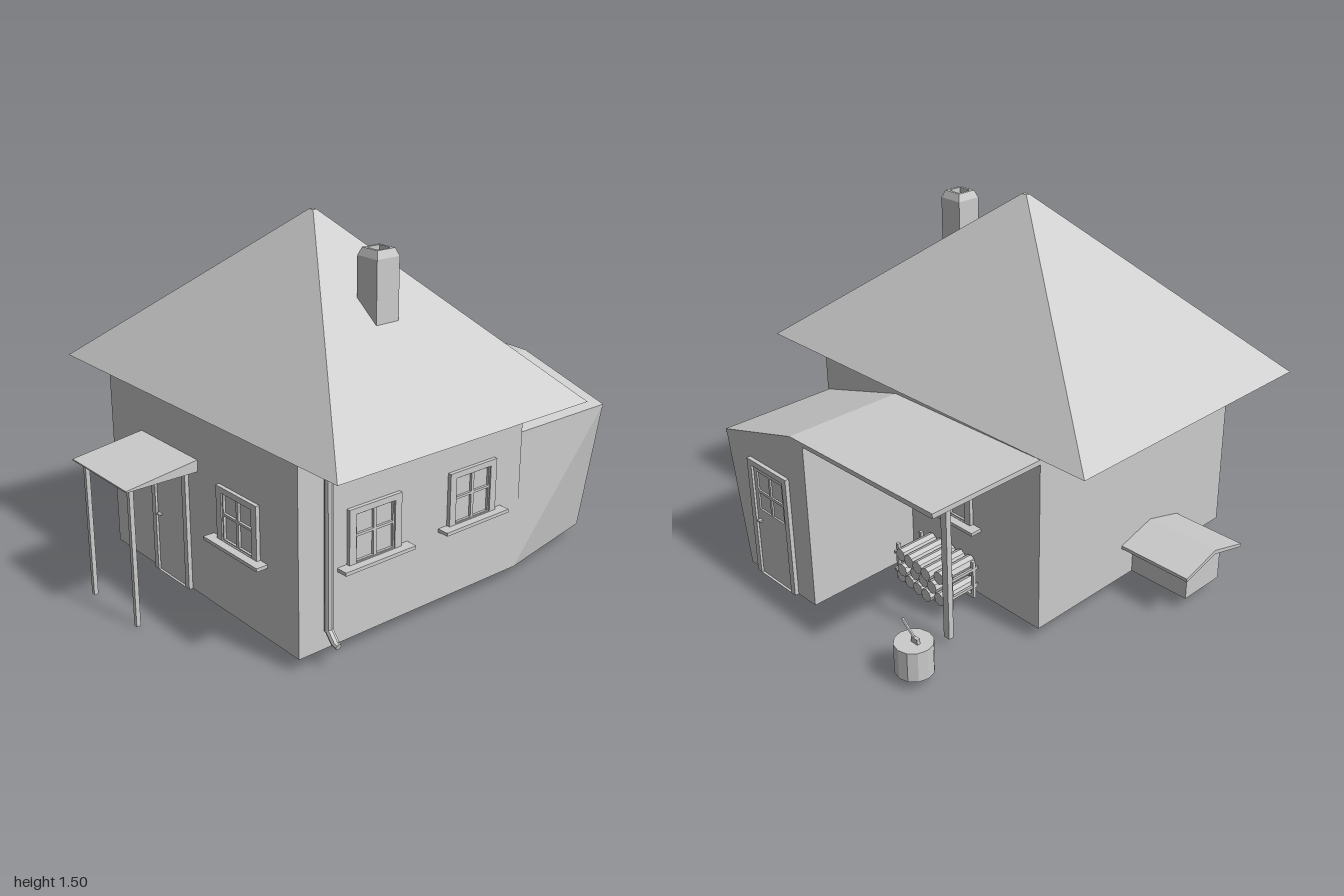
import * as THREE from 'three';

const grey = new THREE.MeshStandardMaterial({ color: 0xcccccc, flatShading: true, side: THREE.DoubleSide });

function add(parent, name, geometry, x = 0, y = 0, z = 0) {
  const mesh = new THREE.Mesh(geometry, grey);
  mesh.name = name;
  mesh.position.set(x, y, z);
  parent.add(mesh);
  return mesh;
}

// Box given by its minimum and maximum on each axis
function block(parent, name, [x0, x1], [y0, y1], [z0, z1]) {
  return add(parent, name, new THREE.BoxGeometry(x1 - x0, y1 - y0, z1 - z0),
    (x0 + x1) / 2, (y0 + y1) / 2, (z0 + z1) / 2);
}

// Round bar between two points
function rod(parent, name, a, b, r, sides = 8) {
  const from = new THREE.Vector3(...a), to = new THREE.Vector3(...b);
  const dir = to.clone().sub(from);
  const mesh = add(parent, name, new THREE.CylinderGeometry(r, r, dir.length(), sides));
  mesh.position.copy(from).add(to).multiplyScalar(0.5);
  mesh.quaternion.setFromUnitVectors(new THREE.Vector3(0, 1, 0), dir.normalize());
  return mesh;
}

const shapeOf = (pts) => new THREE.Shape(pts.map(([x, y]) => new THREE.Vector2(x, y)));

// (x, y) outline swept from z0 to z1
function sweepZ(pts, z0, z1) {
  return new THREE.ExtrudeGeometry(shapeOf(pts), { depth: z1 - z0, bevelEnabled: false }).translate(0, 0, z0);
}

// (z, y) outline swept from x0 to x1
function sweepX(pts, x0, x1) {
  return sweepZ(pts.map(([z, y]) => [-z, y]), x0, x1).rotateY(Math.PI / 2);
}

const rectangle = (x0, x1, y0, y1) => [[x0, y0], [x1, y0], [x1, y1], [x0, y1]];

// Flat panel with rectangular openings, its back at z = 0
function pierced(outer, holes, depth) {
  const shape = shapeOf(rectangle(...outer));
  for (const h of holes) shape.holes.push(shapeOf(rectangle(...h)));
  return new THREE.ExtrudeGeometry(shape, { depth, bevelEnabled: false });
}

// Window with casing, four panes and a sill; faces +z, wall plane at z = 0
function makeWindow(parent, name, x, z, turn) {
  const g = new THREE.Group();
  g.name = name;
  add(g, 'windowCasing', pierced([-0.125, 0.125, 0.36, 0.577], [[-0.093, 0.093, 0.362, 0.553]], 0.016));
  const panes = [];
  for (const [l, r] of [[-0.087, -0.007], [0.007, 0.087]])
    panes.push([l, r, 0.366, 0.462], [l, r, 0.472, 0.549]);
  add(g, 'windowSash', pierced([-0.093, 0.093, 0.362, 0.553], panes, 0.01));
  block(g, 'windowSill', [-0.169, 0.169], [0.346, 0.36], [0, 0.049]);
  g.position.set(x, 0, z);
  g.rotation.y = turn;
  parent.add(g);
}

// Door with casing, leaf and knob; faces +z, wall plane at z = 0
function makeDoor(parent, name, x, z, turn, width, glazed) {
  const g = new THREE.Group(), w = width / 2, leaf = w - 0.026;
  g.name = name;
  add(g, 'doorCasing', pierced([-w, w, 0.055, 0.577], [[-leaf, leaf, 0.056, 0.553]], 0.017));
  const openings = [];
  if (glazed) {
    for (const [l, r] of [[-leaf + 0.02, -0.006], [0.006, leaf - 0.02]])
      openings.push([l, r, 0.36, 0.435], [l, r, 0.447, 0.53]);
  }
  add(g, 'doorLeaf', pierced([-leaf, leaf, 0.056, 0.553], openings, 0.007));
  block(g, 'doorHandle', [-leaf + 0.012, -leaf + 0.03], [0.305, 0.312], [0.007, 0.022]);
  g.position.set(x, 0, z);
  g.rotation.y = turn;
  parent.add(g);
}

export function createModel() {
  const house = new THREE.Group();
  house.name = 'house';

  // Main walls
  block(house, 'mainWalls', [-0.595, 0.647], [0.055, 0.832], [-0.447, 0.675]);

  // Pyramid roof
  const roof = new THREE.CylinderGeometry(Math.SQRT1_2 * 0.014, Math.SQRT1_2, 0.675, 4).rotateY(Math.PI / 4);
  roof.scale(1.765, 1, 1.225);
  add(house, 'mainRoof', roof, 0.0275, 0.83 + 0.3375, 0.1075);

  // Hollow chimney with a chamfered top
  const flue = [[0.054, 1.0], [0.054, 1.4], [0.042, 1.43], [0.03, 1.43], [0.03, 1.33], [0, 1.33]];
  add(house, 'chimney', new THREE.LatheGeometry(
    flue.map(([r, y]) => new THREE.Vector2(r * Math.SQRT2, y)), 4).rotateY(Math.PI / 4), 0.431, 0, 0.13);

  // Front porch
  add(house, 'porchCanopy', sweepX([[0.675, 0.577], [0.985, 0.577], [0.985, 0.583], [0.675, 0.625]], -0.365, 0.035));
  for (const x of [-0.331, -0.006])
    block(house, 'porchPost', [x - 0.009, x + 0.009], [0, 0.58], [0.937, 0.955]);
  makeDoor(house, 'frontDoor', -0.157, 0.675, 0, 0.25, false);

  // Windows
  makeWindow(house, 'frontWindow', 0.3, 0.675, 0);
  makeWindow(house, 'sideWindowFront', 0.647, 0.331, Math.PI / 2);
  makeWindow(house, 'sideWindowBack', 0.647, -0.168, Math.PI / 2);
  makeWindow(house, 'backWindow', -0.115, -0.447, Math.PI);

  // Downpipe with kicked-out spout
  rod(house, 'downpipe', [0.665, 0.832, 0.554], [0.665, 0.135, 0.554], 0.017);
  rod(house, 'downpipeElbow', [0.665, 0.142, 0.554], [0.702, 0.1, 0.554], 0.016);
  rod(house, 'downpipeSpout', [0.694, 0.101, 0.554], [0.72, 0.094, 0.554], 0.013);

  // Back room: its outer wall leans in towards the back bottom corner
  const room = sweepZ([[0.122, 0.055], [0.647, 0.055], [0.64, 0.635], [0.197, 0.765], [0.122, 0.765]], -0.955, -0.44);
  const p = room.attributes.position;
  for (let i = 0; i < p.count; i++)
    if (p.getZ(i) < -0.9 && p.getY(i) < 0.1 && p.getX(i) > 0.5) p.setX(i, 0.55);
  room.computeVertexNormals();
  add(house, 'backRoom', room);
  makeDoor(house, 'backDoor', 0.357, -0.955, Math.PI, 0.254, true);

  // Roof over the back room and open shelter
  add(house, 'backRoof', sweepZ([[0.641, 0.625], [0.641, 0.64], [0.197, 0.772], [-0.595, 0.785],
    [-0.595, 0.765], [0.197, 0.755]], -0.957, -0.44));
  block(house, 'shelterPost', [-0.382, -0.352], [0.03, 0.775], [-0.71, -0.687]);

  // Stacked firewood in a rack
  const pile = new THREE.Group();
  pile.name = 'firewood';
  for (let row = 0; row < 3; row++) {
    const count = row % 2 ? 4 : 5;
    for (let i = 0; i < count; i++) {
      const x = -0.12 + (i - (count - 1) / 2) * 0.056, y = 0.095 + row * 0.049;
      const jut = ((i * 3 + row * 2) % 4) * 0.006;
      rod(pile, 'log', [x, y, -0.455], [x, y, -0.625 - jut], 0.0275);
    }
  }
  for (const z of [-0.48, -0.6]) {
    for (const x of [-0.273, 0.033]) block(pile, 'rackPost', [x - 0.007, x + 0.007], [0.055, 0.22], [z - 0.007, z + 0.007]);
    block(pile, 'rackRail', [-0.28, 0.04], [0.055, 0.068], [z - 0.007, z + 0.007]);
  }
  for (const x of [-0.273, 0.033])
    for (const y of [0.1, 0.18]) block(pile, 'rackCrossbar', [x - 0.005, x + 0.005], [y, y + 0.012], [-0.62, -0.46]);
  house.add(pile);

  // Chopping block with an axe
  add(house, 'choppingBlock', new THREE.CylinderGeometry(0.075, 0.075, 0.125, 12), -0.43, 0.1025, -0.922);
  rod(house, 'axeHandle', [-0.44, 0.178, -0.922], [-0.37, 0.235, -0.922], 0.006, 6);
  block(house, 'axeHead', [-0.458, -0.424], [0.155, 0.187], [-0.929, -0.915]);

  // Kennel against the side wall
  add(house, 'kennelWalls', sweepX([[0.1, 0.055], [0.31, 0.055], [0.31, 0.2], [0.205, 0.24], [0.1, 0.2]], -0.87, -0.59));
  add(house, 'kennelRoof', sweepX([[0.03, 0.192], [0.205, 0.238], [0.38, 0.192], [0.38, 0.206],
    [0.205, 0.255], [0.03, 0.206]], -0.92, -0.59));

  return house;
}
